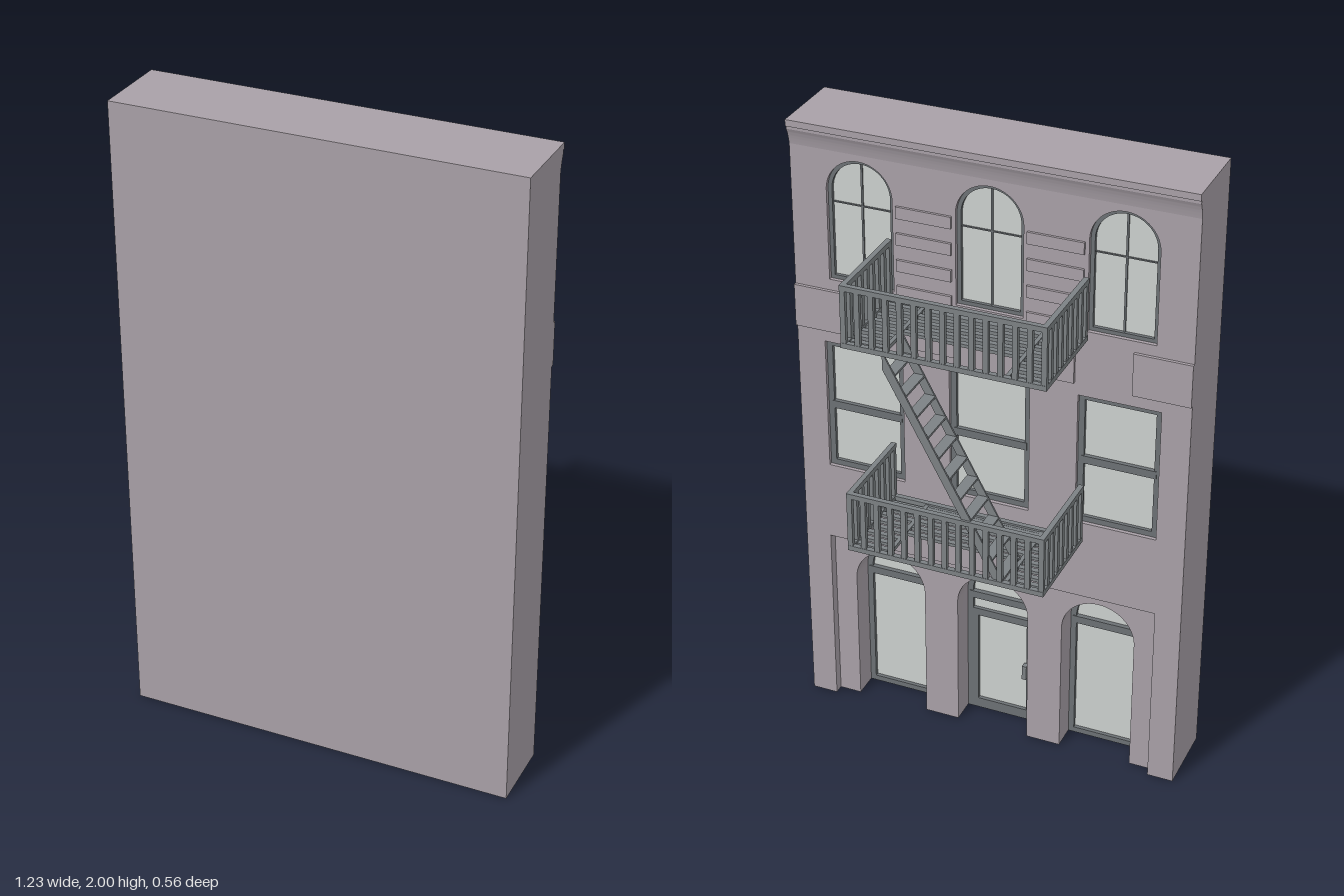
import * as THREE from 'three';
import { toCreasedNormals } from 'three/addons/utils/BufferGeometryUtils.js';

const material = (name, color, side = THREE.FrontSide) => {
  const m = new THREE.MeshStandardMaterial({ color, side });
  m.name = name;
  return m;
};

export function createModel() {
  const model = new THREE.Group();
  model.name = 'buildingFacade';
  const stone = material('stone', 0xa8a0a7);
  const iron = material('iron', 0x7c8184);
  const frameMat = material('windowFrame', 0x6c7174);
  const glass = material('glass', 0xccd0ce);

  const HALF = 0.615, WALL = 0.05, INNER = 0.08, DOOR = 0.18, BACK = 0.28;

  const add = (parent, geo, mat, name) => {
    const mesh = new THREE.Mesh(geo, mat);
    mesh.name = name;
    parent.add(mesh);
    return mesh;
  };
  // box given by its minimum and maximum corners
  const box = (parent, mat, name, x0, x1, y0, y1, z0, z1) =>
    add(parent, new THREE.BoxGeometry(x1 - x0, y1 - y0, z1 - z0), mat, name)
      .position.set((x0 + x1) / 2, (y0 + y1) / 2, (z0 + z1) / 2);
  // flat outline extruded between two depths
  const slab = (parent, shape, mat, name, z0, z1) => {
    const geo = new THREE.ExtrudeGeometry(shape, { depth: z1 - z0, bevelEnabled: false, curveSegments: 20 });
    geo.translate(0, 0, z0);
    return add(parent, toCreasedNormals(geo, 0.6), mat, name);
  };
  const group = (name) => {
    const g = new THREE.Group();
    g.name = name;
    model.add(g);
    return g;
  };

  // outline of an opening; spring is where a round head starts
  const opening = (cx, hw, y0, top, round, inset = 0) => {
    const s = new THREE.Shape();
    const r = hw - inset;
    s.moveTo(cx - r, y0 + inset);
    s.lineTo(cx + r, y0 + inset);
    if (round) {
      s.lineTo(cx + r, top - hw);
      s.absarc(cx, top - hw, r, 0, Math.PI, false);
    } else {
      s.lineTo(cx + r, top - inset);
      s.lineTo(cx - r, top - inset);
    }
    s.closePath();
    return s;
  };
  const frame = (parent, o, width, z0, z1) => {
    const s = opening(o.cx, o.hw, o.y0, o.top, o.round);
    s.holes.push(opening(o.cx, o.hw, o.y0, o.top, o.round, width));
    slab(parent, s, frameMat, 'frame', z0, z1);
  };

  const upper = [-0.4, 0, 0.4].map((cx) => ({ cx, hw: 0.103, y0: 1.51, top: 1.9, round: true }));
  const middle = [-0.4, 0, 0.4].map((cx) => ({ cx, hw: 0.126, y0: 0.87, top: 1.3, round: false }));
  const lower = [-0.345, 0, 0.345].map((cx) => ({ cx, hw: 0.117, y0: 0, top: 0.57, round: true }));

  // front layer of the wall: shopfront recess and window openings
  const wall = group('wall');
  const face = new THREE.Shape();
  [[-HALF, 0], [-0.533, 0], [-0.533, 0.61], [0.533, 0.61], [0.533, 0], [HALF, 0], [HALF, 2], [-HALF, 2]]
    .forEach(([x, y], i) => (i ? face.lineTo(x, y) : face.moveTo(x, y)));
  [...upper, ...middle].forEach((o) => face.holes.push(opening(o.cx, o.hw, o.y0, o.top, o.round)));
  slab(wall, face, stone, 'wallFace', WALL, INNER);

  // second layer with the deep arched doorways
  const arcade = new THREE.Shape();
  arcade.moveTo(-HALF, 0);
  lower.forEach(({ cx, hw, top }) => {
    arcade.lineTo(cx - hw, 0);
    arcade.lineTo(cx - hw, top - hw);
    arcade.absarc(cx, top - hw, hw, Math.PI, 0, true);
    arcade.lineTo(cx + hw, 0);
  });
  arcade.lineTo(HALF, 0);
  arcade.lineTo(HALF, 2);
  arcade.lineTo(-HALF, 2);
  slab(wall, arcade, stone, 'arcade', INNER, DOOR);
  box(wall, stone, 'wallCore', -HALF, HALF, 0, 2, DOOR, BACK);

  // cornice: curved profile swept along x
  const profile = new THREE.Shape();
  profile.moveTo(-WALL, 1.92);
  profile.quadraticCurveTo(-0.044, 1.955, -0.035, 1.97);
  profile.lineTo(-0.035, 1.98);
  profile.lineTo(-0.03, 1.98);
  profile.lineTo(-0.03, 2);
  profile.lineTo(-WALL, 2);
  const cornice = new THREE.ExtrudeGeometry(profile, { depth: 2 * HALF, bevelEnabled: false });
  cornice.translate(0, 0, -HALF);
  cornice.rotateY(Math.PI / 2);
  add(wall, toCreasedNormals(cornice, 0.5), stone, 'cornice');

  // alternating blocks and narrow bands between the top windows
  const unit = (2 * HALF) / 7;
  for (let i = 0; i < 7; i += 2)
    box(wall, stone, 'bandBlock', -HALF + i * unit, -HALF + (i + 1) * unit, 1.34, 1.475, 0.04, WALL);
  for (const y of [1.5, 1.583, 1.667, 1.75])
    for (const x of [-0.2, 0.2])
      box(wall, stone, 'wallBand', x - 0.085, x + 0.085, y, y + 0.037, 0.042, WALL);

  // arched top-floor windows
  const topWindows = group('topWindows');
  upper.forEach((o) => {
    slab(topWindows, opening(o.cx, o.hw, o.y0, o.top, true), glass, 'glass', 0.073, 0.079);
    frame(topWindows, o, 0.012, 0.062, 0.079);
    box(topWindows, frameMat, 'mullion', o.cx - 0.003, o.cx + 0.003, o.y0, o.top - 0.01, 0.069, 0.075);
    box(topWindows, frameMat, 'glazingBar', o.cx - 0.095, o.cx + 0.095, 1.752, 1.756, 0.069, 0.075);
  });

  // sash windows on the middle floor
  const sashWindows = group('sashWindows');
  middle.forEach((o) => {
    slab(sashWindows, opening(o.cx, o.hw, o.y0, o.top, false), glass, 'glass', 0.073, 0.079);
    frame(sashWindows, o, 0.018, 0.062, 0.079);
    box(sashWindows, frameMat, 'meetingRail', o.cx - 0.115, o.cx + 0.115, 1.07, 1.095, 0.06, 0.075);
  });

  // street-level doors and shop windows
  const shopfront = group('shopfront');
  lower.forEach((o) => {
    slab(shopfront, opening(o.cx, o.hw, o.y0, o.top, true), glass, 'glass', 0.172, 0.179);
    frame(shopfront, o, 0.018, 0.16, 0.179);
    box(shopfront, frameMat, 'transom', o.cx - 0.11, o.cx + 0.11, 0.425, 0.45, 0.157, 0.175);
    if (o.cx === 0) {
      box(shopfront, frameMat, 'doorTopRail', -0.11, 0.11, 0.36, 0.385, 0.16, 0.175);
      box(shopfront, frameMat, 'doorBottomRail', -0.11, 0.11, 0, 0.035, 0.16, 0.175);
      for (const s of [-1, 1])
        box(shopfront, frameMat, 'doorStile', s * 0.092 - 0.01, s * 0.092 + 0.01, 0, 0.38, 0.16, 0.175);
      box(shopfront, iron, 'doorHandle', -0.09, -0.075, 0.17, 0.22, 0.14, 0.16);
    }
  });

  // fire-escape balconies
  const BX = 0.307, Z0 = -0.28, Z1 = 0.03, T = 0.016;
  const balcony = (name, y) => {
    const g = group(name);
    const h = 0.195;
    for (const ry of [y, y + h - T]) {
      box(g, iron, 'outerRail', -BX, BX, ry, ry + T, Z0, Z0 + T);
      for (const s of [-1, 1])
        box(g, iron, 'sideRail', s * (BX - T / 2) - T / 2, s * (BX - T / 2) + T / 2, ry, ry + T, Z0, Z1);
    }
    box(g, iron, 'wallBeam', -BX, BX, y, y + T, Z1 - T, Z1);
    // balusters
    for (let i = 0; i <= 14; i++) {
      const x = -BX + (i * (2 * BX - T)) / 14;
      box(g, iron, 'baluster', x, x + T, y, y + h, Z0 + 0.001, Z0 + T - 0.001);
    }
    for (let i = 1; i <= 8; i++) {
      const z = Z0 + (i * (Z1 - Z0 - T)) / 8;
      for (const s of [-1, 1]) {
        const x = s * (BX - T / 2);
        box(g, iron, 'sideBaluster', x - 0.007, x + 0.007, y, y + h, z, z + T);
      }
    }
    // floor slats around the stair opening
    for (let i = 0; i < 9; i++) {
      const z = Z0 + 0.03 + i * 0.0335;
      for (const s of [-1, 1])
        box(g, iron, 'sideSlat', Math.min(s * 0.18, s * 0.3), Math.max(s * 0.18, s * 0.3), y, y + 0.01, z, z + 0.017);
    }
    for (const z of [-0.145, -0.112, -0.078, -0.045, -0.012, 0.006])
      box(g, iron, 'middleSlat', -0.18, 0.18, y, y + 0.01, z, z + 0.017);
    for (const s of [-1, 1])
      box(g, iron, 'floorBeam', s * 0.185 - 0.006, s * 0.185 + 0.006, y, y + 0.012, Z0, Z1);
  };
  balcony('lowerBalcony', 0.82);
  balcony('upperBalcony', 1.495);

  // steep stair between the balconies
  const stair = group('stair');
  for (let i = 0; i < 11; i++) {
    const x = -0.18 + i * 0.0327, y = 0.835 + i * 0.0598;
    box(stair, iron, 'tread', x, x + 0.034, y, y + 0.007, -0.27, -0.145);
  }
  const stringer = new THREE.Shape();
  stringer.moveTo(-0.185, 0.825);
  stringer.lineTo(-0.155, 0.825);
  stringer.lineTo(0.185, 1.45);
  stringer.lineTo(0.185, 1.505);
  for (const z of [-0.273, -0.146]) slab(stair, stringer, iron, 'stringer', z, z + 0.006);

  return model;
}
